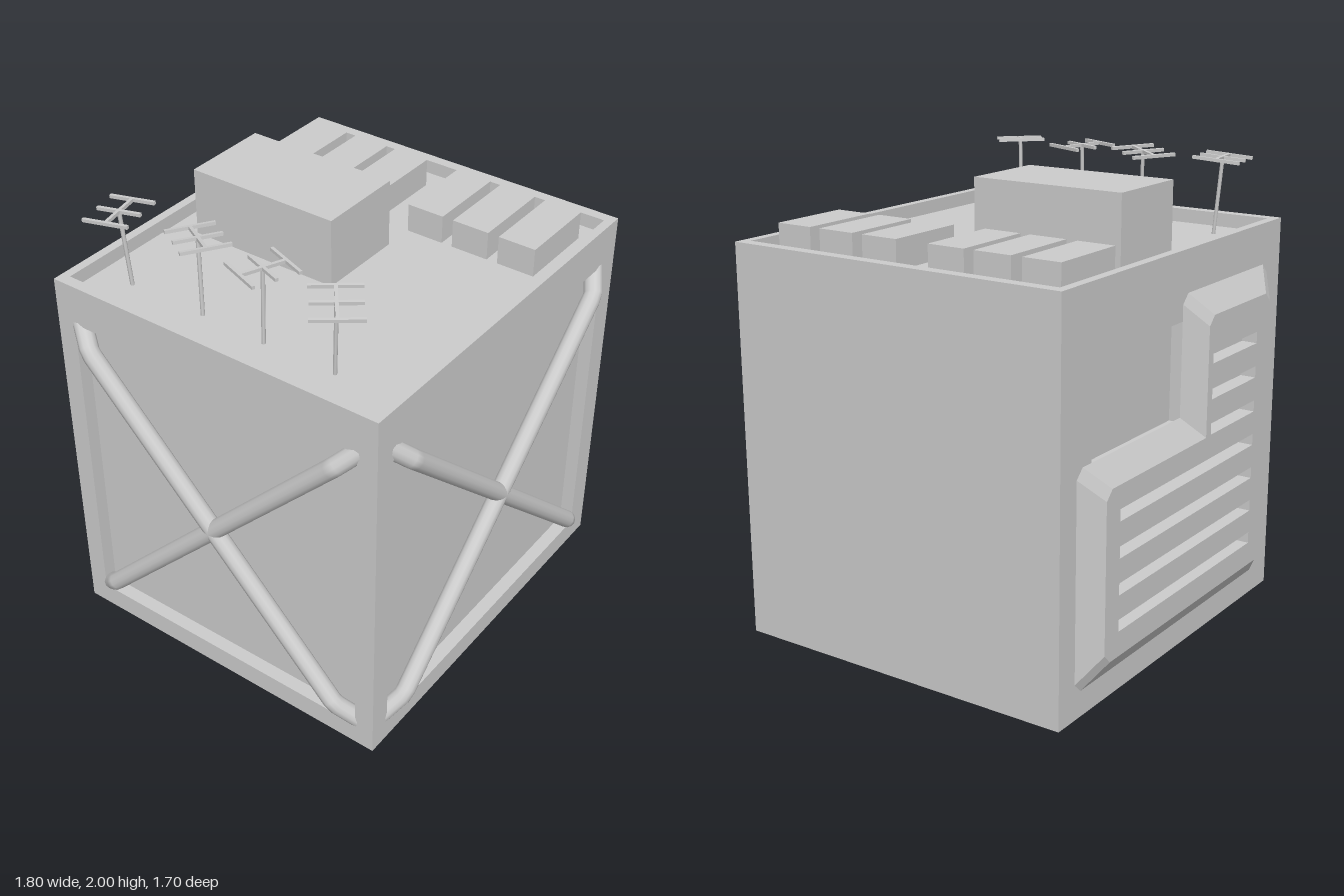
import * as THREE from 'three';

const material = new THREE.MeshStandardMaterial({ color: 0xcccccc });

function add(parent, name, geometry) {
  const mesh = new THREE.Mesh(geometry, material);
  mesh.name = name;
  parent.add(mesh);
  return mesh;
}

// Box given by its limits on each axis
function block(parent, name, [x0, x1], [y0, y1], [z0, z1]) {
  const mesh = add(parent, name, new THREE.BoxGeometry(x1 - x0, y1 - y0, z1 - z0));
  mesh.position.set((x0 + x1) / 2, (y0 + y1) / 2, (z0 + z1) / 2);
  return mesh;
}

const rect = (x0, x1, y0, y1, Type = THREE.Shape) => new Type(
  [[x0, y0], [x1, y0], [x1, y1], [x0, y1]].map(p => new THREE.Vector2(...p)));

// Rectangular wall with one rectangular opening
function frame(outer, opening, depth) {
  const shape = rect(...outer);
  shape.holes.push(rect(...opening, THREE.Path));
  return new THREE.ExtrudeGeometry(shape, { depth, bevelEnabled: false });
}

// Crossed pipes whose ends bend back into the recess; local z = 0 is the wall face
function crossBrace(x0, x1, y0, y1) {
  const group = new THREE.Group();
  group.name = 'crossBrace';
  const e = 0.09;
  for (const [a, b, s] of [[x0, x1, 1], [x1, x0, -1]]) {
    const p = [
      [a, y0, -0.04], [a + s * e, y0 + e, 0.02],
      [b - s * e, y1 - e, 0.02], [b, y1, -0.04],
    ].map(v => new THREE.Vector3(...v));
    const path = new THREE.CurvePath();
    for (let i = 0; i < 3; i++) path.add(new THREE.LineCurve3(p[i], p[i + 1]));
    add(group, 'bracePipe', new THREE.TubeGeometry(path, 64, 0.04, 12));
  }
  return group;
}

// L-shaped outline with cut corners, inset by d
function plateOutline(d) {
  const x0 = -0.72 + d, xm = 0.02 - d, x1 = 0.79 - d;
  const y0 = 0.11 + d, ym = 1.02 - d, y1 = 1.53 - d, c = 0.04;
  return [
    [x0 + c, y0], [x1 - c, y0], [x1, y0 + c], [x1, ym - c], [x1 - c, ym], [xm, ym],
    [xm, y1 - c], [xm - c, y1], [x0 + c, y1], [x0, y1 - c], [x0, y0 + c],
  ].map(p => new THREE.Vector2(...p));
}

// Raised vent plate: flat slotted face and a sloping rim
function ventPlate() {
  const group = new THREE.Group();
  group.name = 'ventPlate';
  const base = plateOutline(0), top = plateOutline(0.1);
  const zBase = -0.78, zTop = -0.85;

  const face = new THREE.Shape(top);
  for (let i = 0; i < 7; i++) {
    const y = 0.34 + i * 0.152;
    face.holes.push(rect(-0.51, i < 4 ? 0.59 : -0.12, y - 0.025, y + 0.025, THREE.Path));
  }
  add(group, 'slottedFace', new THREE.ExtrudeGeometry(face, { depth: zBase - zTop, bevelEnabled: false }))
    .position.z = zTop;

  const positions = [];
  base.forEach((b, i) => {
    const j = (i + 1) % base.length;
    const q = [[b, zBase], [top[i], zTop], [top[j], zTop], [base[j], zBase]];
    for (const k of [0, 1, 2, 0, 2, 3]) positions.push(q[k][0].x, q[k][0].y, q[k][1]);
  });
  const rim = new THREE.BufferGeometry();
  rim.setAttribute('position', new THREE.Float32BufferAttribute(positions, 3));
  rim.computeVertexNormals();
  add(group, 'slopedRim', rim);
  return group;
}

// Aerial with its origin at the mast top; boom along x, three cross elements along z
function antenna(x, z, yaw, tiltX, tiltZ) {
  const group = new THREE.Group();
  group.name = 'antenna';
  const mast = add(group, 'mast', new THREE.CylinderGeometry(0.009, 0.009, 0.34, 6));
  mast.position.y = -0.17;
  const head = new THREE.Group();
  head.name = 'antennaHead';
  head.rotation.y = yaw;
  group.add(head);
  const t = 0.007;
  block(head, 'boom', [-0.1, 0.1], [-t, t], [-t, t]);
  for (const [ex, half] of [[-0.1, 0.103], [0, 0.1], [0.1, 0.103]]) {
    block(head, 'element', [ex - t, ex + t], [-t, t], [-half, half]);
  }
  group.position.set(x, 1.981, z);
  group.rotation.set(tiltX, 0, tiltZ);
  return group;
}

export function createModel() {
  const model = new THREE.Group();
  model.name = 'building';

  // Body: solid core wrapped by recessed walls
  block(model, 'core', [-0.78, 0.9], [0, 1.65], [-0.73, 0.73]);
  add(model, 'frontWall', frame([-0.84, 0.9, 0, 1.65], [-0.74, 0.79, 0.1, 1.53], 0.06)).position.z = 0.73;
  add(model, 'backWall', frame([-0.84, 0.9, 0, 1.65], [0.02, 0.69, 1.0, 1.42], 0.05)).position.z = -0.78;
  const side = add(model, 'sideWall', frame([-0.73, 0.73, 0, 1.65], [-0.69, 0.7, 0.1, 1.53], 0.06));
  side.rotation.y = -Math.PI / 2;
  side.position.x = -0.78;

  // Roof parapet
  const parapet = add(model, 'parapet', frame([-0.84, 0.9, -0.78, 0.79], [-0.79, 0.85, -0.74, 0.75], 0.06));
  parapet.rotation.x = Math.PI / 2;
  parapet.position.y = 1.71;

  // Cross braces on the front and on one side
  const frontBrace = crossBrace(-0.74, 0.79, 0.1, 1.53);
  frontBrace.position.z = 0.79;
  const sideBrace = crossBrace(-0.69, 0.7, 0.1, 1.53);
  sideBrace.rotation.y = -Math.PI / 2;
  sideBrace.position.x = -0.84;
  model.add(frontBrace, sideBrace, ventPlate());

  // Roof house and two rows of three roof units
  block(model, 'roofHouse', [-0.16, 0.24], [1.65, 1.95], [-0.62, 0.08]);
  for (const z of [-0.68, -0.46, -0.245, 0.08, 0.3, 0.52]) {
    block(model, 'roofUnit', [0.38, 0.75], [1.65, 1.775], [z, z + 0.17]);
  }

  // Aerials
  model.add(
    antenna(-0.63, -0.595, 0.19, -0.08, 0.03),
    antenna(-0.6, -0.22, 1.02, -0.06, -0.06),
    antenna(-0.62, 0.11, -0.36, 0, -0.03),
    antenna(-0.645, 0.465, 0.67, 0.06, 0.05),
  );
  return model;
}
